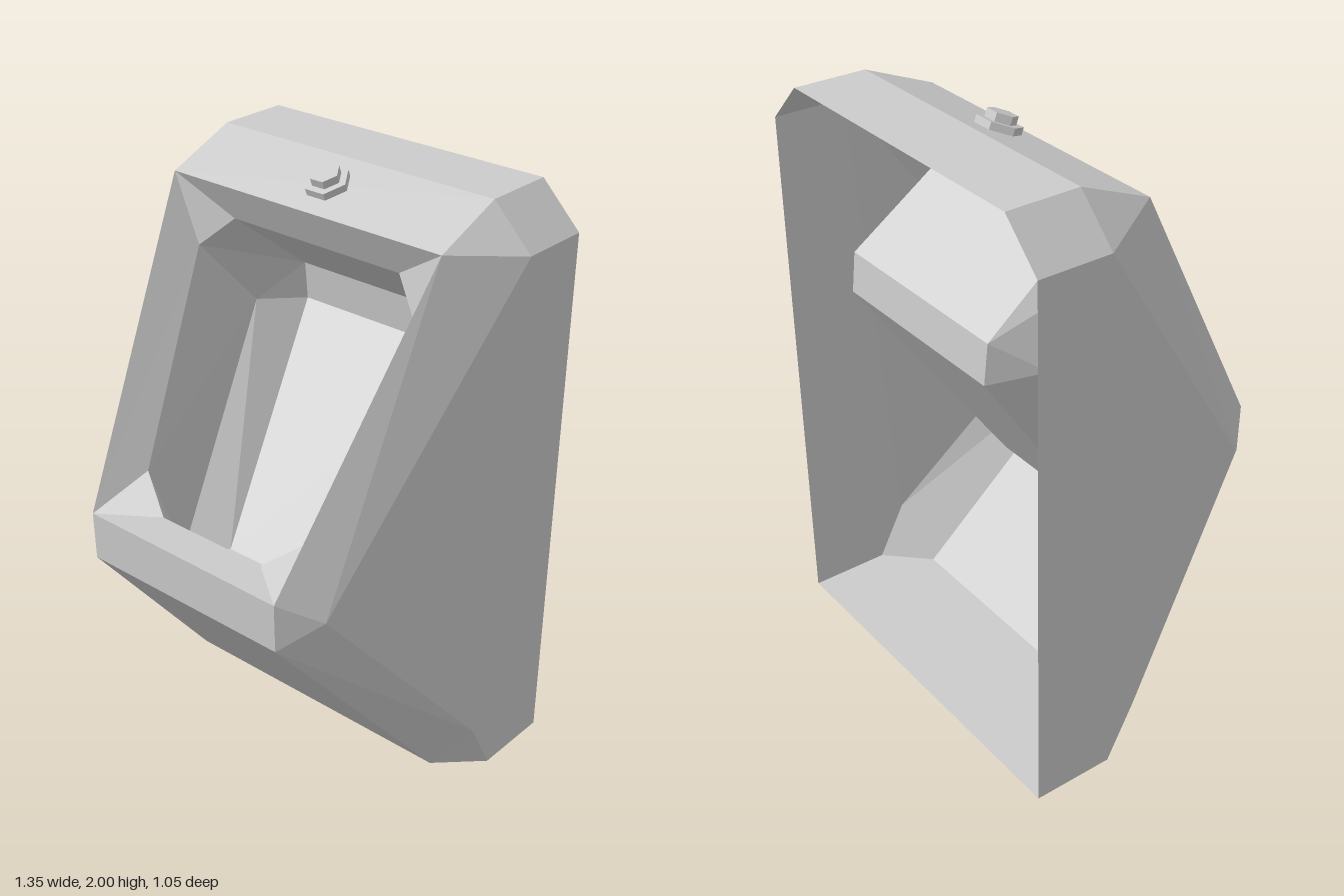
import * as THREE from 'three';

const grey = new THREE.MeshStandardMaterial({ color: 0xcccccc, flatShading: true, side: THREE.DoubleSide });

// Corner points on the +x half; every face is mirrored to -x.
const p = {
  // casing, centre panels
  topBack: [0.535, 1.99, -0.53], topFront: [0.535, 1.99, -0.28], brow: [0.535, 1.89, -0.035],
  lipTop: [0.395, 0.915, 0.525], lipLow: [0.395, 0.745, 0.52],
  foot: [0.535, 0, -0.11], footBack: [0.535, 0, -0.53],
  // casing, sides
  sideTopBack: [0.675, 1.85, -0.53], sideTop: [0.675, 1.85, -0.28], cheek: [0.5, 0.84, 0.41],
  sideLow: [0.675, 0.19, -0.15], sideFoot: [0.675, 0, -0.25], sideFootBack: [0.675, 0, -0.53],
  // opening rim
  rimTop: [0.335, 1.76, -0.1], rimUpper: [0.44, 1.66, -0.04],
  rimLower: [0.34, 1.01, 0.325], rimLow: [0.212, 0.91, 0.385],
  // basin
  ceilBack: [0.355, 1.49, -0.465], wallTop: [0.355, 1.355, -0.48], wallSide: [0.44, 1.38, -0.31],
  floorBack: [0.255, 0.605, 0.035], floorSide: [0.365, 0.605, 0.155], floorFront: [0.25, 0.605, 0.24],
};
const mirror = ([x, y, z]) => [-x, y, z];

// Centre strip along a profile, plus side polygons on both halves.
function facetedMesh(name, profile, sides) {
  const pos = [];
  const polygon = (pts) => {
    for (let i = 1; i < pts.length - 1; i++) pos.push(...pts[0], ...pts[i], ...pts[i + 1]);
  };
  const path = profile.split(' ').map((k) => p[k]);
  for (let i = 0; i < path.length - 1; i++) {
    const a = path[i], b = path[i + 1];
    polygon([a, mirror(a), mirror(b), b]);
  }
  for (const side of sides) {
    const pts = side.split(' ').map((k) => p[k]);
    polygon(pts);
    polygon(pts.map(mirror).reverse());
  }
  const g = new THREE.BufferGeometry();
  g.setAttribute('position', new THREE.Float32BufferAttribute(pos, 3));
  g.computeVertexNormals();
  const mesh = new THREE.Mesh(g, grey);
  mesh.name = name;
  return mesh;
}

// Six-sided disc with corners on the x axis, standing on y.
function hex(name, radius, height, y) {
  const g = new THREE.CylinderGeometry(radius, radius, height, 6);
  g.rotateY(Math.PI / 6);
  const mesh = new THREE.Mesh(g, grey);
  mesh.position.y = y + height / 2;
  mesh.name = name;
  return mesh;
}

function hexPath(radius, Type) {
  const pts = [];
  for (let i = 0; i < 6; i++) {
    const a = (i * Math.PI) / 3;
    pts.push(new THREE.Vector2(radius * Math.cos(a), radius * Math.sin(a)));
  }
  return new Type(pts);
}

export function createModel() {
  const model = new THREE.Group();
  model.name = 'urinal';

  // Casing, open at the back
  model.add(facetedMesh('casing', 'topBack topFront brow', [
    'topBack topFront sideTop sideTopBack',
    'topFront brow sideTop',
    'brow cheek sideTop',
    'brow lipTop cheek',
    'lipTop lipLow cheek',
    'sideTop cheek sideLow',
    'cheek lipLow sideLow',
    'lipLow foot sideLow',
    'foot sideFoot sideLow',
    'sideFootBack sideTopBack sideTop sideLow sideFoot',
  ]));
  model.add(facetedMesh('lowerFront', 'lipTop lipLow foot', []));
  model.add(facetedMesh('base', 'foot footBack', ['foot footBack sideFootBack sideFoot']));

  // Bevelled frame around the opening
  model.add(facetedMesh('upperRim', 'brow rimTop', [
    'brow rimTop rimUpper',
    'brow rimUpper rimLower lipTop',
    'lipTop rimLower rimLow',
  ]));
  model.add(facetedMesh('lowerRim', 'rimLow lipTop', []));

  // Hollow basin
  model.add(facetedMesh('basin', 'rimTop ceilBack wallTop floorBack floorFront rimLow', [
    'rimTop ceilBack wallSide rimUpper',
    'ceilBack wallTop wallSide',
    'wallTop floorBack floorSide wallSide',
    'rimUpper wallSide floorSide rimLower',
    'floorBack floorFront floorSide',
    'floorSide floorFront rimLower',
    'floorFront rimLow rimLower',
  ]));

  // Inlet bolt, tilted with the brow panel
  const bolt = new THREE.Group();
  bolt.name = 'inletBolt';
  bolt.add(hex('boltFlange', 0.073, 0.035, -0.012), hex('boltHead', 0.049, 0.03, 0.02));
  bolt.position.set(0.01, 1.94, -0.155);
  bolt.rotation.x = Math.atan2(0.1, 0.245);
  model.add(bolt);

  // Drain ring in the basin floor with a nut below
  const drain = new THREE.Group();
  drain.name = 'drain';
  const ringShape = hexPath(0.105, THREE.Shape);
  ringShape.holes.push(hexPath(0.075, THREE.Path));
  const ringGeo = new THREE.ExtrudeGeometry(ringShape, { depth: 0.03, bevelEnabled: false });
  ringGeo.rotateX(-Math.PI / 2);
  const ring = new THREE.Mesh(ringGeo, grey);
  ring.name = 'drainRing';
  ring.position.y = -0.012;
  drain.add(ring, hex('drainFlange', 0.105, 0.025, -0.03), hex('drainNut', 0.075, 0.03, -0.06));
  drain.position.set(-0.012, 0.605, 0.142);
  model.add(drain);

  return model;
}
